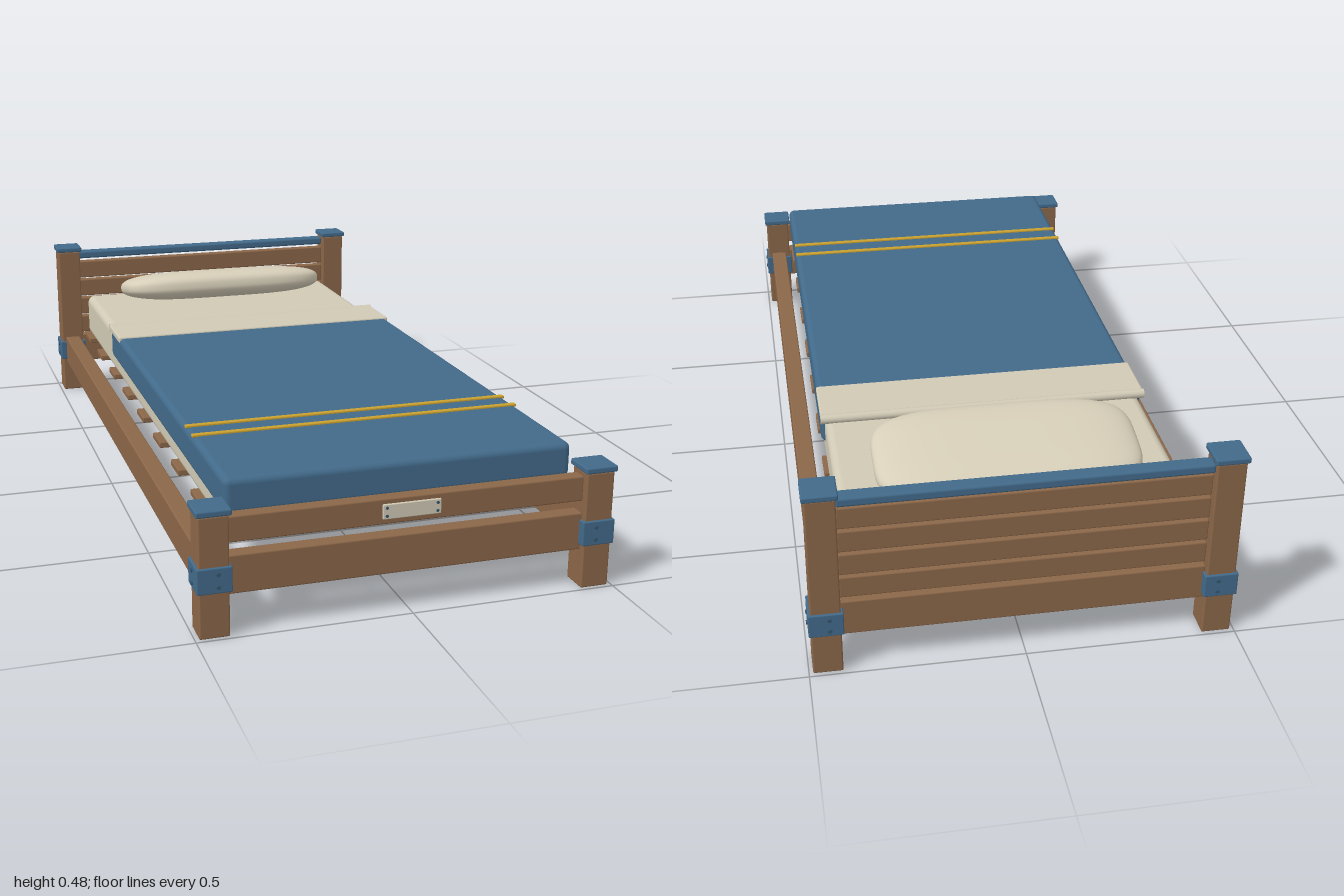
import * as THREE from 'three';
import { RoundedBoxGeometry } from 'three/addons/geometries/RoundedBoxGeometry.js';

const material = (name, color) => {
  const m = new THREE.MeshStandardMaterial({ color });
  m.name = name;
  return m;
};

export function createModel() {
  const wood = material('wood', 0x8b6749);
  const blue = material('blue', 0x426a8a);
  const linen = material('linen', 0xd0c9b5);
  const pillowCream = material('pillow cream', 0xd6ceb8);
  const gold = material('gold', 0xc9a02f);
  const bolt = material('bolt blue', 0x34566f);
  const bed = new THREE.Group();
  bed.name = 'bed';

  const add = (name, geometry, mat, x = 0, y = 0, z = 0) => {
    const mesh = new THREE.Mesh(geometry, mat);
    mesh.name = name;
    mesh.position.set(x, y, z);
    bed.add(mesh);
    return mesh;
  };
  // Softened block given by its centre in x and z, and its bottom and top heights
  const block = (name, mat, x, z, y0, y1, w, d, r = 0.004) =>
    add(name, new RoundedBoxGeometry(w, y1 - y0, d, 3, r), mat, x, (y0 + y1) / 2, z);

  const PX = 0.456, PZ = 0.957;
  const boltGeo = new THREE.CylinderGeometry(0.005, 0.005, 0.006, 10);

  // Corner posts with caps, brackets and bolts
  for (const sx of [-1, 1]) {
    for (const sz of [-1, 1]) {
      const top = sz > 0 ? 0.283 : 0.467;
      const x = sx * PX, z = sz * PZ;
      block('post', wood, x, z, 0, top, 0.069, 0.069);
      block('postCap', blue, x, z, top, top + 0.015, 0.08, 0.08);
      block('bracket', blue, x, z, 0.107, 0.167, 0.08, 0.08, 0.003);
      for (const y of [0.122, 0.152]) {
        add('endBolt', boltGeo, bolt, x - sx * 0.008, y, sz * (PZ + 0.04)).rotation.x = Math.PI / 2;
        add('sideBolt', boltGeo, bolt, sx * (PX + 0.04), y, z).rotation.z = Math.PI / 2;
      }
    }
    block('sideRail', wood, sx * PX, 0, 0.095, 0.181, 0.045, 1.86);
  }

  // Footboard: two rails with an open gap, and a riveted plate
  block('footLowerRail', wood, 0, PZ, 0.092, 0.183, 0.845, 0.038);
  block('footUpperRail', wood, 0, PZ, 0.211, 0.272, 0.845, 0.034);
  block('plate', linen, 0, PZ + 0.019, 0.225, 0.26, 0.138, 0.007, 0.002);
  for (const x of [-0.06, 0.06]) {
    for (const y of [0.233, 0.252]) {
      const rivet = add('plateRivet', boltGeo, bolt, x, y, PZ + 0.022);
      rivet.rotation.x = Math.PI / 2;
      rivet.scale.set(0.7, 0.8, 0.7);
    }
  }

  // Headboard: bottom rail, four planks and a blue top rail
  block('headLowerRail', wood, 0, -PZ, 0.092, 0.183, 0.845, 0.038);
  for (let i = 0; i < 4; i++) {
    const y = 0.19 + i * 0.0615;
    block('headPlank', wood, 0, -PZ, y, y + 0.055, 0.845, 0.026);
  }
  block('headTopRail', blue, 0, -PZ - 0.006, 0.439, 0.462, 0.845, 0.038, 0.006);

  // Slats
  for (let i = -4; i <= 4; i++) {
    block('slat', wood, 0, i * 0.215, 0.182, 0.198, 0.83, 0.085, 0.003);
  }

  // Mattress, blanket, stripes and folded sheet
  block('mattress', linen, 0, 0.003, 0.198, 0.324, 0.81, 1.82, 0.022);
  block('blanket', blue, 0, 0.253, 0.25, 0.336, 0.83, 1.335, 0.016);
  for (const z of [0.552, 0.622]) {
    block('stripe', gold, 0, z, 0.333, 0.341, 0.828, 0.014, 0.003);
  }
  block('sheetFold', linen, 0, -0.357, 0.322, 0.341, 0.832, 0.155, 0.005);
  const roll = add('sheetRoll', new THREE.CylinderGeometry(0.012, 0.012, 0.832, 20), linen, 0, 0.332, -0.433);
  roll.rotation.z = Math.PI / 2;

  // Pillow: a sphere squared off towards a rounded cushion
  const pillowGeo = new THREE.SphereGeometry(1, 72, 36);
  const pos = pillowGeo.attributes.position;
  const v = new THREE.Vector3();
  for (let i = 0; i < pos.count; i++) {
    v.fromBufferAttribute(pos, i);
    const plan = Math.hypot(v.x, v.z);
    const c = plan > 1e-6 ? v.x / plan : 1, s = plan > 1e-6 ? v.z / plan : 0;
    const outline = Math.pow(c ** 4 + s ** 4, -0.25);
    const rim = Math.pow(plan, 0.55);
    pos.setXYZ(i, 0.316 * c * outline * rim, 0.044 * Math.sign(v.y) * Math.abs(v.y) ** 0.75, 0.148 * s * outline * rim);
  }
  pillowGeo.computeVertexNormals();
  add('pillow', pillowGeo, pillowCream, 0, 0.38, -0.722).rotation.x = -0.2;

  return bed;
}
